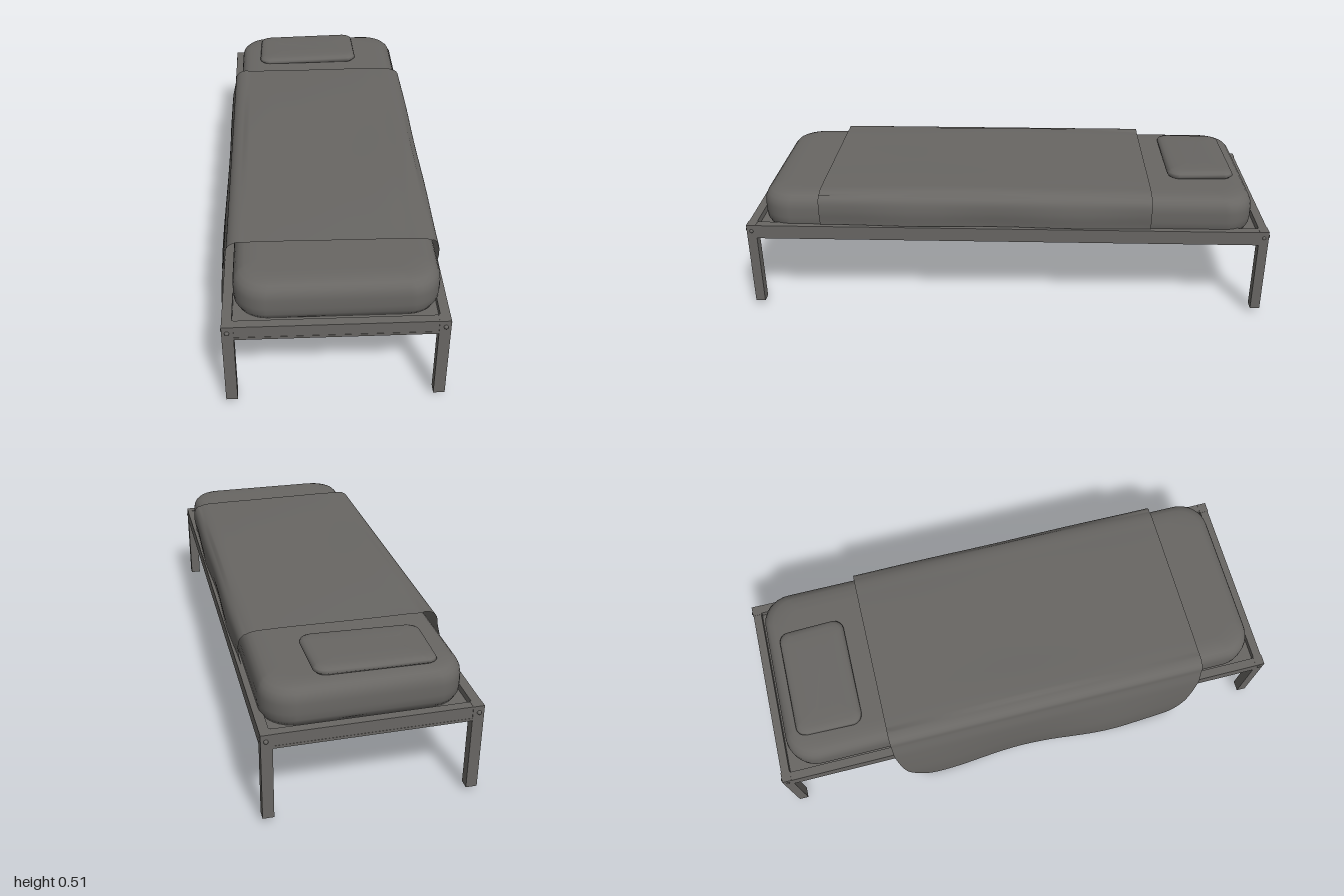
import * as THREE from 'three';

const grey = new THREE.MeshStandardMaterial({ color: 0x686663 });
grey.name = 'grey';
grey.side = THREE.DoubleSide;

const CX = 0.017; // the bed frame sits slightly off centre, as the blanket hangs to one side

function add(group, name, geometry, x = 0, y = 0, z = 0) {
  const mesh = new THREE.Mesh(geometry, grey);
  mesh.name = name;
  mesh.position.set(x, y, z);
  group.add(mesh);
  return mesh;
}

// Rounded-rectangle rings stacked into a closed cushion; each ring is [inset, y]
function cushion(hx, hz, radius, rings, shape) {
  const corner = 8, n = 4 * (corner + 1);
  const pos = [], index = [];
  for (const [inset, y] of rings) {
    const w = hx - inset, d = hz - inset * hz / hx * (inset > 0.1 ? 1 : hx / hz);
    const r = Math.min(Math.max(radius - inset * 0.4, 0.01), w * 0.9);
    for (let c = 0; c < 4; c++) {
      const sx = c === 0 || c === 3 ? 1 : -1, sz = c < 2 ? 1 : -1;
      for (let i = 0; i <= corner; i++) {
        const a = (c + i / corner) * Math.PI / 2;
        const p = [sx * (w - r) + r * Math.cos(a), y, sz * (d - r) + r * Math.sin(a)];
        pos.push(...(shape ? shape(...p) : p));
      }
    }
  }
  for (let k = 0; k < rings.length - 1; k++) {
    for (let i = 0; i < n; i++) {
      const a = k * n + i, b = k * n + (i + 1) % n;
      index.push(a, a + n, b, b, a + n, b + n);
    }
  }
  // close bottom and top
  const last = (rings.length - 1) * n;
  for (let i = 1; i < n - 1; i++) {
    index.push(0, i, i + 1, last, last + i + 1, last + i);
  }
  const g = new THREE.BufferGeometry();
  g.setAttribute('position', new THREE.Float32BufferAttribute(pos, 3));
  g.setIndex(index);
  g.computeVertexNormals();
  return g;
}

// Blanket: a sheet over the mattress, tucked short on the left and hanging long on the right
function blanketGeometry() {
  const section = new THREE.CatmullRomCurve3([
    [0.392, 0.362], [0.396, 0.42], [0.385, 0.465], [0.35, 0.488], [0.27, 0.493],
    [0.1, 0.493], [-0.1, 0.493], [-0.27, 0.493], [-0.325, 0.487], [-0.348, 0.468],
    [-0.355, 0.43], [-0.368, 0.37], [-0.375, 0.3], [-0.38, 0.22], [-0.383, 0.12], [-0.378, 0],
  ].map(([x, y]) => new THREE.Vector3(x, y, 0)), false, 'centripetal');
  const g = new THREE.PlaneGeometry(1, 1, 90, 56);
  const p = g.attributes.position;
  const smooth = THREE.MathUtils.smoothstep;
  for (let i = 0; i < p.count; i++) {
    const w = p.getY(i) + 0.5; // 0 at the head, 1 at the foot
    const q = section.getPoint(p.getX(i) + 0.5);
    const hang = q.x < -0.3 ? 1 - smooth(q.y, 0, 0.45) : 0;
    const drop = q.x < -0.3 ? Math.max(0, 1 - q.y / 0.36) : 0;
    // the sides narrow towards the hem
    const z0 = -0.548 + 0.03 * drop + 0.05 * drop ** 4;
    const z1 = 0.71 - 0.035 * drop - 0.02 * drop ** 4;
    const z = z0 + (z1 - z0) * w;
    // gentle waves on top, soft folds down the hanging side
    if (q.x > -0.3 && q.y > 0.48) {
      q.y += 0.005 * Math.sin(Math.PI * w) - 0.004 * (1 - Math.sin(Math.PI * w)) + 0.0015 * Math.sin(9 * w + 6 * q.x);
    }
    if (q.x > 0.33) q.x -= 0.008 * (1 + Math.cos(13 * w + 0.2)) * smooth(0.5 - q.y, 0, 0.14) * 0.5;
    const fold = 0.009 * Math.cos((w - 0.07) * 10) + 0.008 * smooth(w, 0.5, 0.8);
    q.x -= hang * fold;
    const hem = 0.004 + 0.027 * Math.sin(Math.PI * w) ** 2 + 0.035 * Math.abs(2 * w - 1) ** 24;
    q.y += hem * drop;
    p.setXYZ(i, Math.max(q.x, -0.4), q.y, z);
  }
  g.computeVertexNormals();
  return g;
}

export function createModel() {
  const bed = new THREE.Group();
  bed.name = 'bed';

  // Metal frame: legs, rails and corner bolts
  const frame = new THREE.Group();
  frame.name = 'frame';
  bed.add(frame);
  const hx = 0.38, hz = 0.992;
  const bolt = new THREE.SphereGeometry(0.008, 12, 8);
  for (const s of [-1, 1]) {
    add(frame, 'sideRail', new THREE.BoxGeometry(0.034, 0.054, hz * 2), CX + s * (hx - 0.017), 0.332, 0);
    add(frame, 'endRail', new THREE.BoxGeometry(0.69, 0.054, 0.032), CX, 0.332, s * (hz - 0.018));
    add(frame, 'endLip', new THREE.BoxGeometry(0.69, 0.01, 0.034), CX, 0.309, s * (hz - 0.018));
    for (const t of [-1, 1]) {
      add(frame, 'leg', new THREE.BoxGeometry(0.04, 0.335, 0.036), CX + s * (hx - 0.02), 0.1925, t * (hz - 0.018));
      add(frame, 'endBolt', bolt, CX + s * (hx - 0.018), 0.335, t * hz);
      add(frame, 'sideBolt', bolt, CX + s * (hx - 0.003), 0.335, t * (hz - 0.018));
    }
  }
  add(frame, 'baseBoard', new THREE.BoxGeometry(0.7, 0.022, 1.93), CX, 0.324, 0);

  // Mattress with softly rolled top edge
  const mattressRings = [
    [0.012, 0.336], [0.002, 0.36], [0, 0.385], [0, 0.42], [0.003, 0.44], [0.01, 0.456],
    [0.022, 0.469], [0.04, 0.476], [0.065, 0.479], [0.09, 0.48],
  ];
  add(bed, 'mattress', cushion(0.352, 0.938, 0.11, mattressRings), 0.025, 0, 0);

  // Flat pillow, thicker towards its left end
  const pillowRings = [
    [0.03, 0], [0.008, 0.004], [0, 0.013], [0.004, 0.022], [0.014, 0.028], [0.03, 0.031], [0.06, 0.032], [0.09, 0.032],
  ];
  const pillowShape = (x, y, z) => {
    const lift = 0.004 * Math.cos(x * 14) + 0.03 * Math.max(0, x) + 0.012 * Math.max(0, z);
    return [x * (1 + 0.12 * z), y + lift * (y / 0.03) + 0.03 * Math.max(0, x - 0.05), z + 0.006 * Math.cos(x * 12)];
  };
  add(bed, 'pillow', cushion(0.217, 0.128, 0.04, pillowRings, pillowShape), -0.022, 0.473, -0.752);

  add(bed, 'blanket', blanketGeometry());
  return bed;
}
